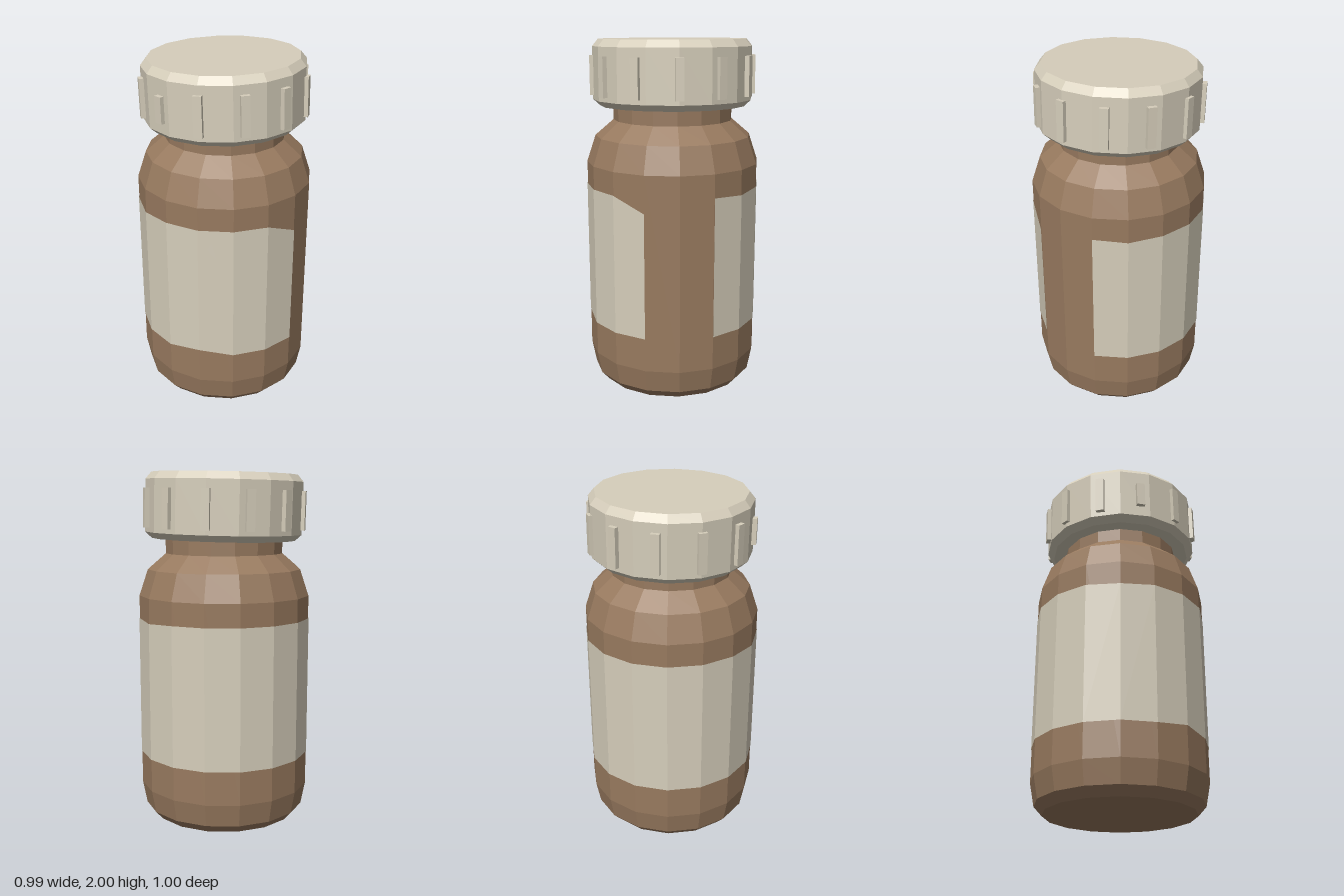
import * as THREE from 'three';

const SIDES = 16;
const STEP = (Math.PI * 2) / SIDES;

function lathe(points, material, name) {
  const profile = points.map(([r, y]) => new THREE.Vector2(r, y));
  const mesh = new THREE.Mesh(new THREE.LatheGeometry(profile, SIDES), material);
  mesh.name = name;
  return mesh;
}

function surface(positions, material, name) {
  const geometry = new THREE.BufferGeometry();
  geometry.setAttribute('position', new THREE.Float32BufferAttribute(positions, 3));
  geometry.computeVertexNormals();
  const mesh = new THREE.Mesh(geometry, material);
  mesh.name = name;
  return mesh;
}

export function createModel() {
  const brown = new THREE.MeshStandardMaterial({ color: 0x987a5f, flatShading: true });
  brown.name = 'brown glass';
  const cream = new THREE.MeshStandardMaterial({ color: 0xd6cebb, flatShading: true, side: THREE.DoubleSide });
  cream.name = 'cream';

  const model = new THREE.Group();
  model.name = 'bottle';

  // Bottle body with rounded base, shoulder and neck
  model.add(lathe([
    [0, 0], [0.425, 0], [0.47, 0.05], [0.495, 0.18], [0.495, 1.3],
    [0.445, 1.45], [0.34, 1.54], [0.34, 1.66],
  ], brown, 'body'));

  // Wrapped label, open around the +x side, with slightly worn edges
  const topEdge = { 6: 1.16, 14: 1.16, 19: 1.09 };
  const bottomEdge = { 16: 0.395 };
  const R = 0.498;
  const corner = (i, top) => [
    R * Math.sin(i * STEP),
    top ? topEdge[i] ?? 1.17 : bottomEdge[i] ?? 0.373,
    R * Math.cos(i * STEP),
  ];
  const wrap = [];
  for (let i = 5; i < 19; i++) {
    const a = corner(i, false), b = corner(i + 1, false);
    const c = corner(i + 1, true), d = corner(i, true);
    wrap.push(...a, ...b, ...c, ...a, ...c, ...d);
  }
  model.add(surface(wrap, cream, 'label'));

  // Two small lifted flakes on the label front
  const flakes = [
    [[0.05, 1.06], [0.1, 1.0], [0.075, 1.095]],
    [[-0.1, 0.48], [-0.06, 0.49], [-0.06, 0.62]],
  ];
  flakes.forEach((points) => {
    const positions = points.flatMap(([x, y]) => [x, y, 0.501 - Math.abs(x) * 0.199]);
    model.add(surface(positions, cream, 'labelFlake'));
  });

  // Cap, sitting slightly crooked on the neck
  const cap = new THREE.Group();
  cap.name = 'cap';
  cap.position.y = 1.805;
  cap.rotation.z = 0.022;
  cap.add(lathe([
    [0, -0.185], [0.415, -0.185], [0.453, -0.15], [0.453, 0.145], [0.42, 0.185], [0, 0.185],
  ], cream, 'capShell'));

  // Grip ribs, one of them worn short
  for (let i = 0; i < 12; i++) {
    const angle = (i * Math.PI) / 6;
    const height = i === 11 ? 0.145 : 0.22;
    const rib = new THREE.Mesh(new THREE.BoxGeometry(0.048, height, 0.03), cream);
    rib.name = 'capRib';
    rib.position.set(0.455 * Math.sin(angle), -0.015, 0.455 * Math.cos(angle));
    rib.rotation.y = angle;
    cap.add(rib);
  }
  model.add(cap);

  return model;
}
